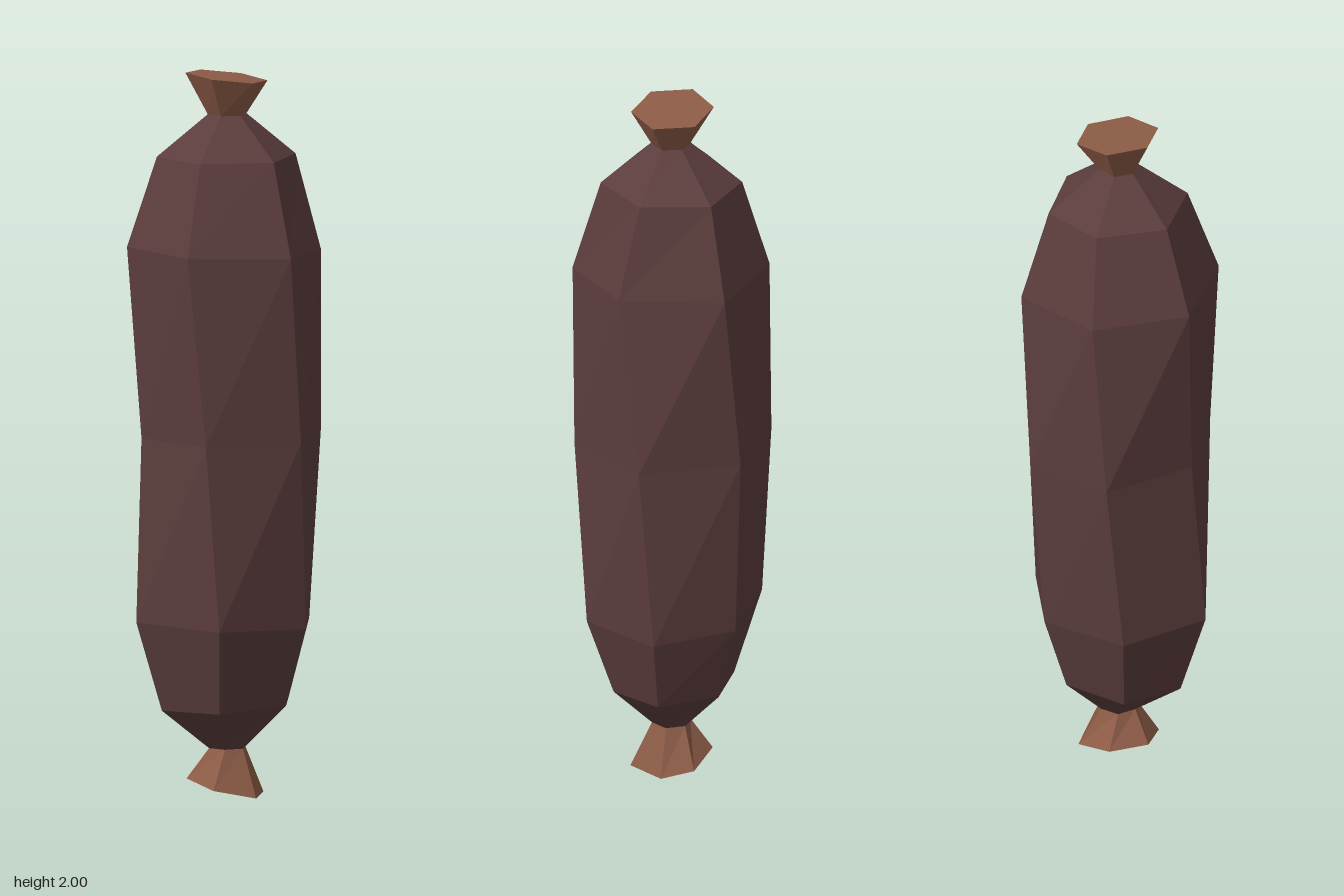
import * as THREE from 'three';

// Joins hexagonal rings (bottom to top) with faceted sides; optionally closes the ends.
function loft(rings, capBottom, capTop) {
  const pos = [];
  const tri = (...pts) => pts.forEach((p) => pos.push(...p));
  for (let r = 0; r < rings.length - 1; r++) {
    const a = rings[r], b = rings[r + 1];
    for (let k = 0; k < 6; k++) {
      const n = (k + 1) % 6;
      tri(a[n], a[k], b[k]);
      tri(a[n], b[k], b[n]);
    }
  }
  const first = rings[0], last = rings[rings.length - 1];
  for (let k = 1; k < 5; k++) {
    if (capBottom) tri(first[0], first[k], first[k + 1]);
    if (capTop) tri(last[0], last[k + 1], last[k]);
  }
  const g = new THREE.BufferGeometry();
  g.setAttribute('position', new THREE.Float32BufferAttribute(pos, 3));
  g.computeVertexNormals();
  return g;
}

// A ring from six x, z pairs at a height that may tilt along x and z.
const ring = (y, xz, tiltX = 0, tiltZ = 0) =>
  xz.map(([x, z]) => [x, y + tiltX * x + tiltZ * z, z]);

// A regular hexagon of x, z pairs.
const hex = (radius, degrees) => Array.from({ length: 6 }, (_, k) => {
  const t = THREE.MathUtils.degToRad(degrees + k * 60);
  return [radius * Math.cos(t), radius * Math.sin(t)];
});

export function createModel() {
  const group = new THREE.Group();
  const casing = new THREE.MeshStandardMaterial({ color: 0x5c3d3d, flatShading: true });
  casing.name = 'dark casing';
  const knot = new THREE.MeshStandardMaterial({ color: 0x8d5c47, flatShading: true });
  knot.name = 'brown knot';

  const add = (name, geometry, material) => {
    const mesh = new THREE.Mesh(geometry, material);
    mesh.name = name;
    group.add(mesh);
  };

  const lowNeck = ring(0.135, hex(0.054, -5));
  const highNeck = ring(1.885, hex(0.054, 7));

  // Slightly twisted, uneven body
  add('body', loft([
    lowNeck,
    ring(0.255, [[0.188, -0.03], [0.13, 0.12], [-0.08, 0.175], [-0.195, 0.02], [-0.12, -0.14], [0.06, -0.16]], 0.04),
    ring(0.485, [[0.25, -0.04], [0.165, 0.185], [-0.105, 0.246], [-0.272, 0.03], [-0.165, -0.205], [0.09, -0.22]], -0.04),
    ring(1.0, [[0.272, -0.005], [0.135, 0.232], [-0.14, 0.235], [-0.247, 0], [-0.135, -0.243], [0.12, -0.246]]),
    ring(1.515, [[0.25, 0.062], [0.1, 0.25], [-0.185, 0.212], [-0.273, -0.047], [-0.095, -0.252], [0.17, -0.218]], -0.03),
    ring(1.77, [[0.19, 0.022], [0.075, 0.177], [-0.127, 0.147], [-0.19, -0.037], [-0.06, -0.185], [0.12, -0.16]]),
    highNeck,
  ]), casing);

  // Flared, tilted ends
  add('bottomKnot', loft([
    ring(0.027, [[0.108, -0.01], [0.05, 0.1], [-0.07, 0.092], [-0.112, -0.015], [-0.045, -0.105], [0.068, -0.092]], -0.2, -0.13),
    lowNeck,
  ], true, false), knot);
  add('topKnot', loft([
    highNeck,
    ring(1.987, [[0.112, 0.013], [0.04, 0.102], [-0.073, 0.085], [-0.113, -0.022], [-0.04, -0.11], [0.072, -0.095]], -0.115, -0.02),
  ], false, true), knot);

  return group;
}
